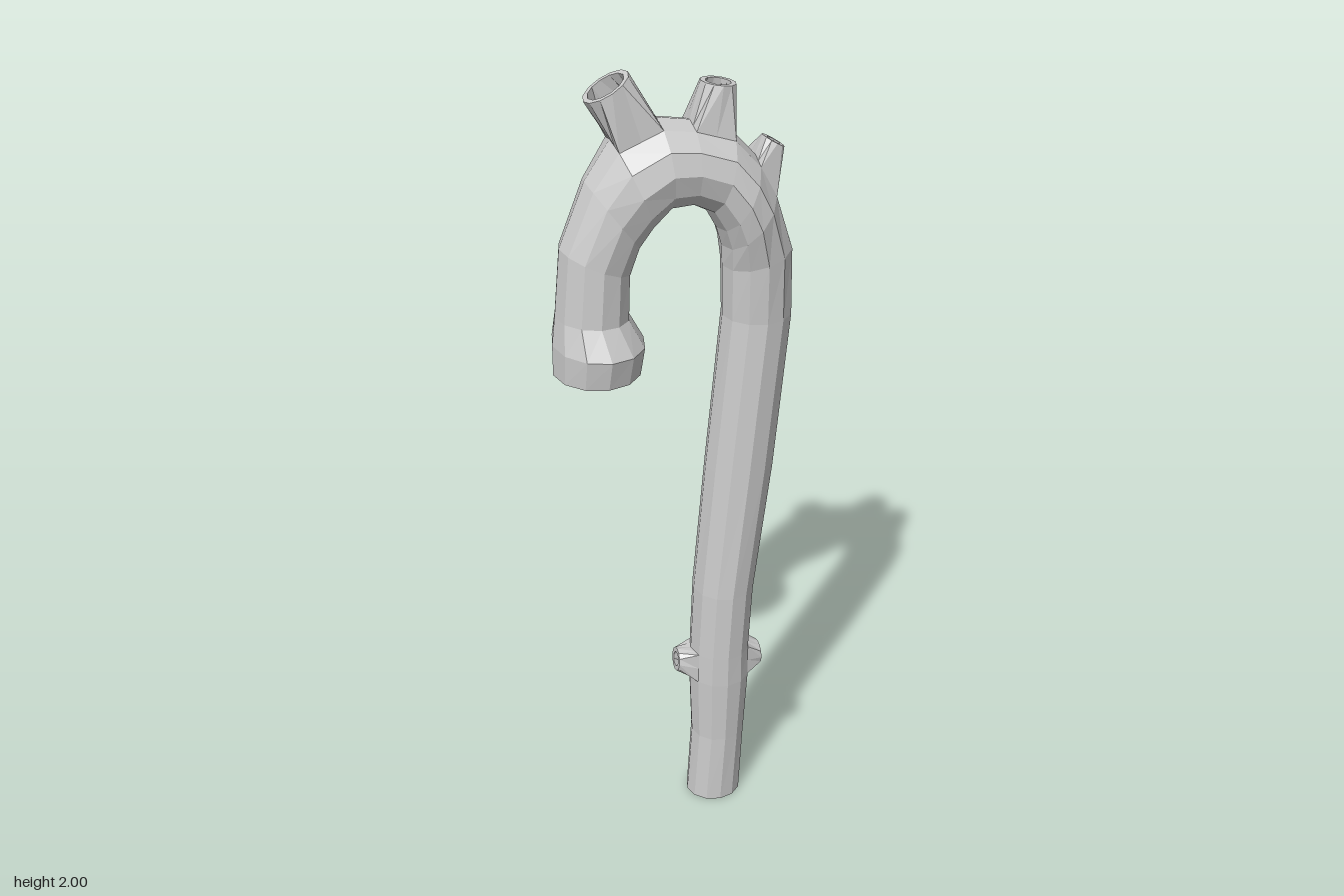
import * as THREE from 'three';

const SIDES = 12;
const WALL = 0.012;
const Z = new THREE.Vector3(0, 0, 1);

// Cross-sections along the vessel: outer edge x, y, inner edge x, y, half depth
const SECTIONS = [
  [-0.293, 1.30, -0.085, 1.30, 0.115],
  [-0.293, 1.375, -0.075, 1.37, 0.13],
  [-0.285, 1.445, -0.11, 1.435, 0.092],
  [-0.27, 1.61, -0.107, 1.54, 0.09],
  [-0.208, 1.762, -0.088, 1.60, 0.10],
  [-0.148, 1.852, -0.06, 1.645, 0.12],
  [-0.042, 1.892, -0.02, 1.685, 0.112],
  [0.035, 1.88, 0.03, 1.688, 0.108],
  [0.13, 1.85, 0.075, 1.665, 0.108],
  [0.19, 1.785, 0.10, 1.62, 0.118],
  [0.232, 1.71, 0.113, 1.575, 0.115],
  [0.28, 1.57, 0.115, 1.525, 0.095],
  [0.285, 1.40, 0.117, 1.40, 0.086],
  [0.25, 1.00, 0.08, 1.00, 0.085],
  [0.207, 0.65, 0.052, 0.65, 0.085],
  [0.198, 0.465, 0.045, 0.465, 0.082],
  [0.20, 0.38, 0.043, 0.38, 0.08],
  [0.19, 0.20, 0.05, 0.20, 0.072],
  [0.182, 0, 0.038, 0, 0.068],
];

// Side vessels: section they leave from, side (1 outer, -1 inner), tip, direction, radius
const BRANCHES = [
  { name: 'firstArchBranch', at: 5, side: 1, tip: [-0.155, 1.97], dir: [-0.5, 0.87], r: 0.058 },
  { name: 'secondArchBranch', at: 7, side: 1, tip: [0.1, 1.96], dir: [0.13, 0.99], r: 0.041 },
  { name: 'thirdArchBranch', at: 9, side: 1, tip: [0.232, 1.814], dir: [0.5, 0.87], r: 0.029 },
  { name: 'outerLowerBranch', at: 15, side: 1, tip: [0.23, 0.417], dir: [1, 0], r: 0.032 },
  { name: 'innerLowerBranch', at: 15, side: -1, tip: [0.005, 0.437], dir: [-1, 0.1], r: 0.031 },
];

// Ring of points for one section, shrunk by the inset
function sectionRing([ox, oy, ix, iy, depth], inset) {
  const centre = new THREE.Vector3((ox + ix) / 2, (oy + iy) / 2, 0);
  const across = new THREE.Vector3((ox - ix) / 2, (oy - iy) / 2, 0);
  across.setLength(across.length() - inset);
  return Array.from({ length: SIDES }, (_, j) => {
    const a = (j / SIDES) * Math.PI * 2;
    return centre.clone().addScaledVector(across, Math.cos(a)).addScaledVector(Z, Math.sin(a) * (depth - inset));
  });
}

// Collects quads and turns them into a flat-shaded mesh
function makeBuilder() {
  const pos = [];
  const quad = (a, b, c, d) => [a, b, c, a, c, d].forEach((p) => pos.push(p.x, p.y, p.z));
  // Band of quads between two closed loops
  const band = (low, high, flip) => low.forEach((p, k) => {
    const n = (k + 1) % low.length;
    if (flip) quad(p, high[k], high[n], low[n]);
    else quad(p, low[n], high[n], high[k]);
  });
  const mesh = (name, material) => {
    const geometry = new THREE.BufferGeometry();
    geometry.setAttribute('position', new THREE.Float32BufferAttribute(pos, 3));
    geometry.computeVertexNormals();
    const m = new THREE.Mesh(geometry, material);
    m.name = name;
    return m;
  };
  return { quad, band, mesh };
}

// First side index of the two-facet opening under a branch
const firstSide = (b) => (b.side > 0 ? SIDES - 1 : SIDES / 2 - 1);

function isOpening(i, j) {
  return BRANCHES.some((b) => b.at === i && (j === firstSide(b) || j === (firstSide(b) + 1) % SIDES));
}

// Opening edge with midpoints, starting at the middle of its near edge
function openingLoop(rings, b) {
  const j = firstSide(b);
  const at = (i, k) => rings[b.at + i][(j + k) % SIDES];
  const corners = [at(0, 1), at(0, 2), at(1, 2), at(1, 1), at(1, 0), at(0, 0)];
  return corners.flatMap((p, k) => [p, p.clone().lerp(corners[(k + 1) % 6], 0.5)]);
}

// Round end of a branch, point for point with its opening
function tipLoop(b, radius, count) {
  const axis = new THREE.Vector3(...b.dir, 0).normalize();
  const depth = Z.clone().multiplyScalar(b.side);
  const along = axis.clone().cross(depth);
  return Array.from({ length: count }, (_, k) => {
    const a = (k / count) * Math.PI * 2;
    return new THREE.Vector3(...b.tip, 0)
      .addScaledVector(along, -Math.cos(a) * radius)
      .addScaledVector(depth, Math.sin(a) * radius);
  });
}

export function createModel() {
  const group = new THREE.Group();
  const material = new THREE.MeshStandardMaterial({ color: 0xcccccc, flatShading: true });
  const outer = SECTIONS.map((s) => sectionRing(s, 0));
  const inner = SECTIONS.map((s) => sectionRing(s, WALL));

  // Hollow main vessel, left open under the branches
  const trunk = makeBuilder();
  for (let i = 0; i < SECTIONS.length - 1; i++) {
    for (let j = 0; j < SIDES; j++) {
      if (isOpening(i, j)) continue;
      const n = (j + 1) % SIDES;
      trunk.quad(outer[i][j], outer[i][n], outer[i + 1][n], outer[i + 1][j]);
      trunk.quad(inner[i][j], inner[i + 1][j], inner[i + 1][n], inner[i][n]);
    }
  }
  // Rims at both ends
  const last = SECTIONS.length - 1;
  trunk.band(outer[0], inner[0], true);
  trunk.band(outer[last], inner[last], false);
  group.add(trunk.mesh('mainVessel', material));

  // Hollow side vessels
  for (const b of BRANCHES) {
    const part = makeBuilder();
    const outBase = openingLoop(outer, b);
    const inBase = openingLoop(inner, b);
    const outTip = tipLoop(b, b.r, outBase.length);
    const inTip = tipLoop(b, b.r - WALL, inBase.length);
    part.band(outBase, outTip, false);
    part.band(inBase, inTip, true);
    part.band(outTip, inTip, false);
    group.add(part.mesh(b.name, material));
  }
  return group;
}
